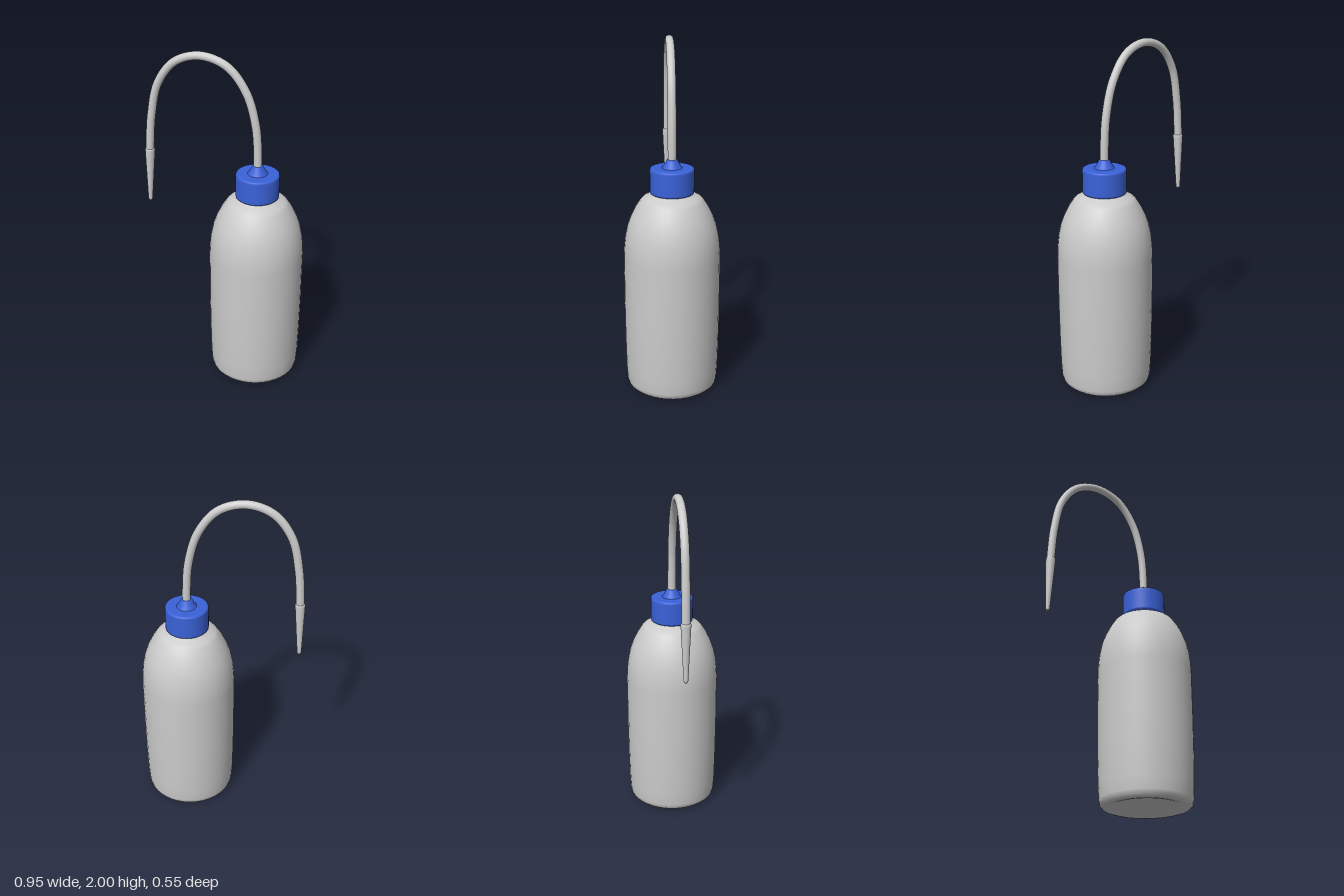
import * as THREE from 'three';

const AXIS_X = 0.197; // bottle axis

const vec2 = ([r, y]) => new THREE.Vector2(r, y);

function lathe(name, points, material, segments = 40) {
  const mesh = new THREE.Mesh(new THREE.LatheGeometry(points.map(vec2), segments), material);
  mesh.name = name;
  return mesh;
}

export function createModel() {
  const group = new THREE.Group();
  group.name = 'washBottle';
  const grey = new THREE.MeshStandardMaterial({ color: 0xcccccc });
  const blue = new THREE.MeshStandardMaterial({ color: 0x3a62d8 });

  // Bottle body: slightly recessed base, straight wall, rounded shoulder, neck
  const body = lathe('bottleBody', [
    [0, 0.016], [0.17, 0.014], [0.2, 0.004], [0.225, 0], [0.245, 0.004], [0.258, 0.016],
    [0.264, 0.04], [0.269, 0.12], [0.273, 0.3], [0.275, 0.5], [0.275, 0.8], [0.272, 0.86],
    [0.265, 0.92], [0.252, 0.98], [0.232, 1.035], [0.207, 1.085], [0.18, 1.127],
    [0.165, 1.142], [0.14, 1.155], [0.115, 1.165], [0.108, 1.175], [0.106, 1.2],
  ], grey);
  body.position.x = AXIS_X;

  // Screw cap with softened rims
  const cap = lathe('cap', [
    [0, 1.17], [0.115, 1.17], [0.119, 1.17], [0.124, 1.174], [0.125, 1.18], [0.125, 1.186],
    [0.125, 1.3], [0.125, 1.306], [0.123, 1.312], [0.117, 1.315], [0.11, 1.316], [0, 1.316],
  ], blue);
  cap.position.x = AXIS_X;

  // Conical spout collar on the cap
  const collar = lathe('spoutCollar', [
    [0.06, 1.314], [0.055, 1.318], [0.05, 1.325], [0.033, 1.355], [0.031, 1.36],
    [0.028, 1.363], [0.015, 1.363], [0, 1.363],
  ], blue, 32);
  collar.position.x = AXIS_X;

  // Bent delivery tube
  const path = new THREE.CatmullRomCurve3([
    [0.197, 1.33], [0.196, 1.42], [0.181, 1.6], [0.125, 1.79], [0.015, 1.93], [-0.135, 1.976],
    [-0.28, 1.93], [-0.383, 1.795], [-0.428, 1.6], [-0.442, 1.45], [-0.447, 1.35],
  ].map(([x, y]) => new THREE.Vector3(x, y, 0)), false, 'centripetal');
  const tube = new THREE.Mesh(new THREE.TubeGeometry(path, 72, 0.024, 16), grey);
  tube.name = 'deliveryTube';

  // Tapered nozzle on the end of the tube
  const nozzle = lathe('nozzle', [
    [0, -0.34], [0.009, -0.34], [0.011, -0.338], [0.013, -0.325], [0.025, -0.09],
    [0.0285, -0.02], [0.0285, -0.008], [0.027, -0.003], [0.022, 0], [0, 0],
  ], grey, 20);
  nozzle.position.set(-0.445, 1.388, 0);
  nozzle.rotation.z = -0.03;

  group.add(body, cap, collar, tube, nozzle);
  return group;
}
